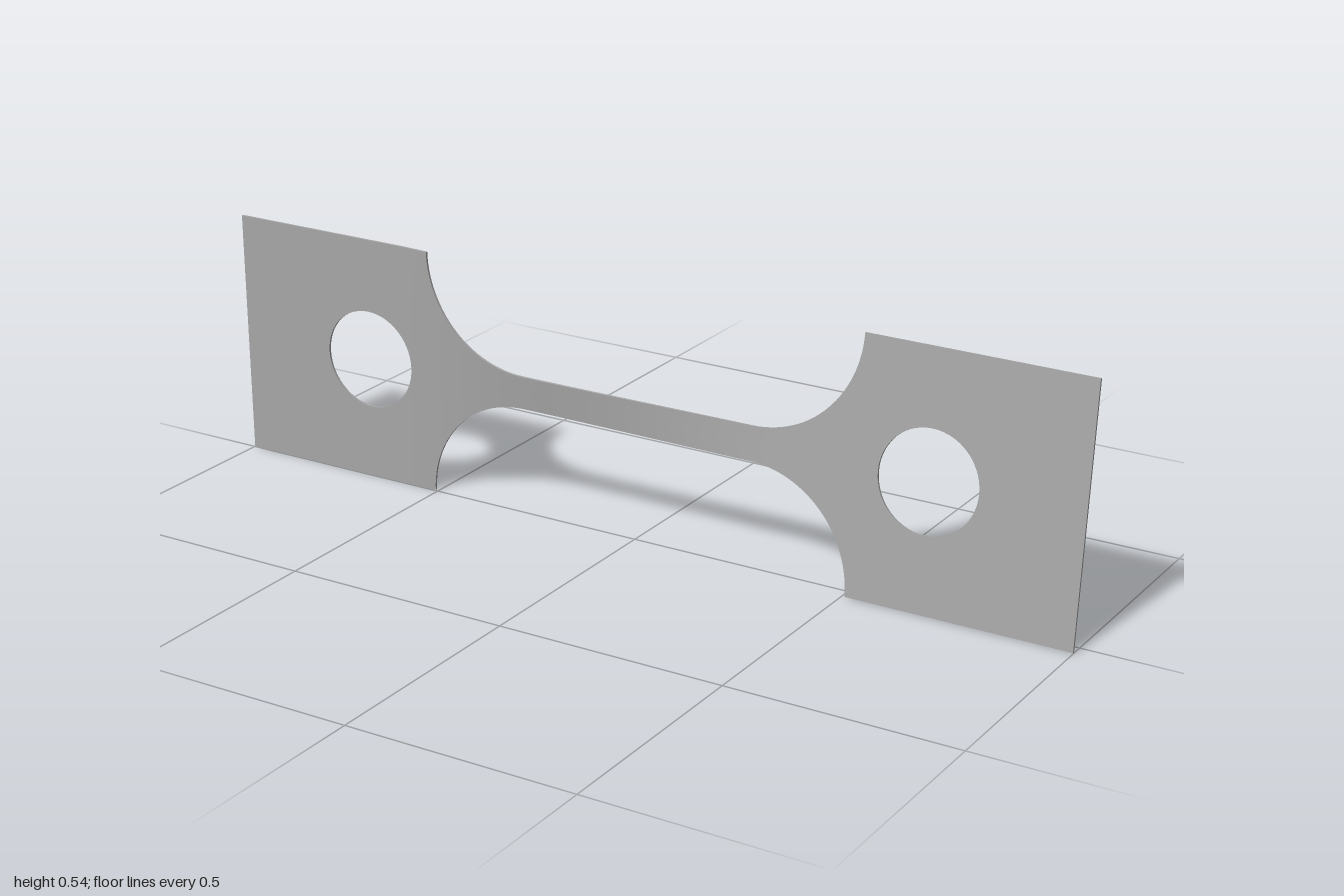
import * as THREE from 'three';
import { toCreasedNormals } from 'three/addons/utils/BufferGeometryUtils.js';

const HALF = 0.271;      // half height of the end plates, also the centre line's y
const NECK = 0.037;      // half height of the neck
const PLATE = 0.508;     // |x| where the fillet meets the plate edge
const FILLET = HALF - NECK;
const HOLE_X = 0.668, HOLE_R = 0.109;
const THICK = 0.005;

// Half height of the outline at x
function outer(x) {
  const d = Math.abs(x) - (PLATE - FILLET);
  if (d <= 0) return NECK;
  if (d >= FILLET) return HALF;
  return HALF - Math.sqrt(FILLET * FILLET - d * d);
}

// Half height of the hole at x
function inner(x) {
  const d = Math.abs(x) - HOLE_X;
  return Math.sqrt(Math.max(0, HOLE_R * HOLE_R - d * d));
}

// Twist about the long axis: the neck first turns one way, then the other
function twist(x) {
  const s = THREE.MathUtils.smoothstep;
  const degrees = -0.75 - 4.75 * s(x, -0.6, -0.22) + 11.6 * s(x, -0.22, 0.42);
  return THREE.MathUtils.degToRad(degrees);
}

// Point at x, signed height h from the axis, on face f (1 front, -1 back)
function point(x, h, f) {
  const a = twist(x), t = f * THICK / 2;
  return [x, HALF + h * Math.cos(a) + t * Math.sin(a), -h * Math.sin(a) + t * Math.cos(a)];
}

// Stations along x, denser around the holes and fillets
function stations() {
  const xs = [1];
  const n = 28;
  for (let i = 0; i <= n; i++) xs.push(HOLE_X + HOLE_R * Math.cos(Math.PI * i / n));
  for (let i = 0; i <= n; i++) xs.push(PLATE - FILLET + FILLET * Math.cos(Math.PI / 2 * i / n));
  for (let i = 1; i <= 10; i++) xs.push((PLATE - FILLET) * (1 - i / 10));
  const half = xs.filter((x) => x > 1e-6);
  return [...half.map((x) => -x), 0, ...half].sort((a, b) => a - b);
}

function specimenGeometry() {
  const pos = [];
  const quad = (a, b, c, d, flip) => {
    const tris = flip ? [a, c, b, a, d, c] : [a, b, c, a, c, d];
    for (const p of tris) pos.push(...p);
  };
  const xs = stations();
  for (const s of [1, -1]) {
    const flip = s < 0;
    for (let i = 0; i < xs.length - 1; i++) {
      const x0 = xs[i], x1 = xs[i + 1];
      if (x1 - x0 < 1e-6) continue;
      const l0 = s * inner(x0), l1 = s * inner(x1), h0 = s * outer(x0), h1 = s * outer(x1);
      // front and back faces
      for (const f of [1, -1]) {
        quad(point(x0, l0, f), point(x1, l1, f), point(x1, h1, f), point(x0, h0, f), flip !== (f < 0));
      }
      // outer rim
      quad(point(x0, h0, 1), point(x1, h1, 1), point(x1, h1, -1), point(x0, h0, -1), flip);
      // hole wall
      if (Math.abs(l0) + Math.abs(l1) > 1e-5) {
        quad(point(x0, l0, 1), point(x1, l1, 1), point(x1, l1, -1), point(x0, l0, -1), !flip);
      }
    }
    // end caps
    for (const x of [1, -1]) {
      const h = s * HALF;
      quad(point(x, 0, 1), point(x, 0, -1), point(x, h, -1), point(x, h, 1), flip !== (x < 0));
    }
  }
  const geometry = new THREE.BufferGeometry();
  geometry.setAttribute('position', new THREE.Float32BufferAttribute(pos, 3));
  return toCreasedNormals(geometry, 0.6);
}

export function createModel() {
  const steel = new THREE.MeshStandardMaterial({ color: 0xa8a8a8 });
  steel.name = 'grey steel';
  const specimen = new THREE.Mesh(specimenGeometry(), steel);
  specimen.name = 'twistedTestStrip';
  const group = new THREE.Group();
  group.name = 'tensileSpecimen';
  group.add(specimen);
  return group;
}
